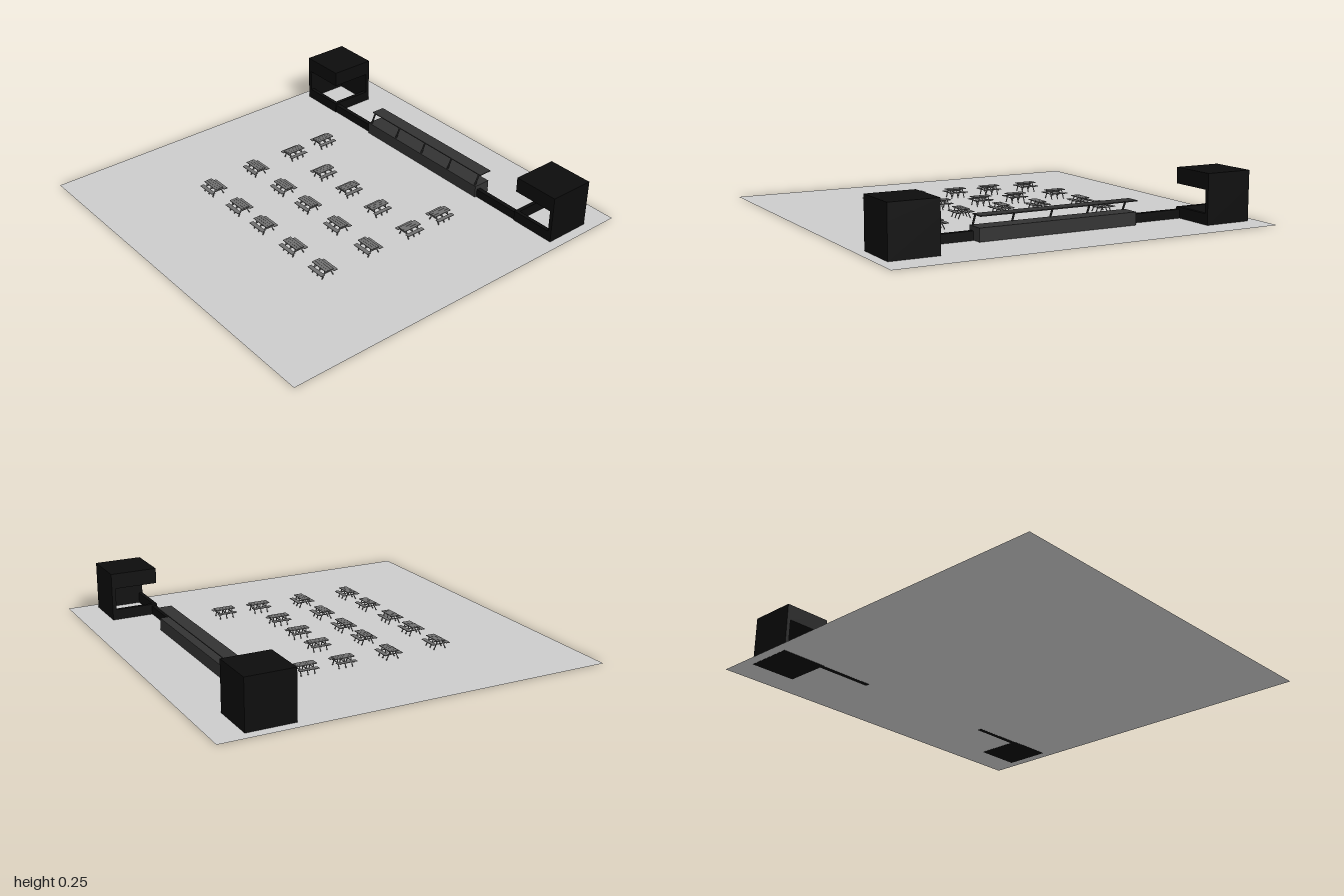
import * as THREE from 'three';

const mat = (color) => new THREE.MeshStandardMaterial({ color });
const groundMat = new THREE.MeshStandardMaterial({ color: 0xcccccc, side: THREE.DoubleSide });
const blackMat = mat(0x0c0c0c);
const barMat = mat(0x333333);
const tableMat = mat(0x707070);

// Box given by its minimum and maximum corners
function box(parent, name, material, [x0, y0, z0], [x1, y1, z1]) {
  const mesh = new THREE.Mesh(new THREE.BoxGeometry(x1 - x0, y1 - y0, z1 - z0), material);
  mesh.position.set((x0 + x1) / 2, (y0 + y1) / 2, (z0 + z1) / 2);
  mesh.name = name;
  parent.add(mesh);
  return mesh;
}

// Thin square bar between two points
function bar(parent, name, material, from, to, size) {
  const a = new THREE.Vector3(...from), b = new THREE.Vector3(...to);
  const mesh = new THREE.Mesh(new THREE.BoxGeometry(size, a.distanceTo(b), size), material);
  mesh.position.copy(a).add(b).multiplyScalar(0.5);
  mesh.quaternion.setFromUnitVectors(new THREE.Vector3(0, 1, 0), b.sub(a).normalize());
  mesh.name = name;
  parent.add(mesh);
}

// Kiosk with a corner window open to the front and the inner side (side = +1 left, -1 right)
function kiosk(side) {
  const g = new THREE.Group();
  g.name = side > 0 ? 'leftKiosk' : 'rightKiosk';
  const inner = 0.703, outer = 0.948, back = -0.85, front = -0.605;
  const t = 0.02, sill = 0.055, lintel = 0.17, top = 0.25;
  const part = (name, xa, xb, y0, y1, z0, z1) =>
    box(g, name, blackMat, [Math.min(side * xa, side * xb), y0, z0], [Math.max(side * xa, side * xb), y1, z1]);
  part('kioskBase', inner, outer, 0, 0.0005, back, front);
  part('kioskBackWall', inner, outer, 0, lintel, back, back + t);
  part('kioskOuterWall', outer - t, outer, 0, lintel, back + t, front);
  part('kioskFrontSill', inner, outer - t, 0, sill, front - t, front);
  part('kioskInnerSill', inner, inner + t, 0, sill, back + t, front - t);
  part('kioskRoof', inner, outer, lintel, top, back, front);
  return g;
}

// Picnic table, long along x
function picnicTable() {
  const g = new THREE.Group();
  g.name = 'picnicTable';
  const half = 0.052;
  for (const z of [-0.0155, 0, 0.0155])
    box(g, 'tableTopPlank', tableMat, [-half, 0.049, z - 0.0073], [half, 0.053, z + 0.0073]);
  for (const s of [-1, 1]) {
    box(g, 'benchSeat', tableMat, [-half, 0.034, s * 0.038 - 0.011], [half, 0.037, s * 0.038 + 0.011]);
    for (const x of [-0.036, 0, 0.036])
      bar(g, 'tableLeg', tableMat, [x, 0.005, s * 0.033], [x, 0.049, s * 0.012], 0.004);
  }
  for (const x of [-0.036, 0, 0.036])
    box(g, 'benchSupport', tableMat, [x - 0.002, 0.030, -0.045], [x + 0.002, 0.034, 0.045]);
  return g;
}

export function createModel() {
  const model = new THREE.Group();
  model.name = 'beerGarden';

  // Ground sheet
  const ground = new THREE.Mesh(new THREE.PlaneGeometry(2, 2), groundMat);
  ground.rotation.x = -Math.PI / 2;
  ground.position.y = 0.001;
  ground.name = 'ground';
  model.add(ground);

  // Kiosks and the low walls joining them to the bar
  model.add(kiosk(1), kiosk(-1));
  box(model, 'rightLowWall', blackMat, [-0.703, 0, -0.634], [-0.40, 0.045, -0.61]);
  box(model, 'leftLowWall', blackMat, [0.43, 0, -0.634], [0.703, 0.045, -0.61]);

  // Bar counter with a thin canopy on slanted posts
  const counter = new THREE.Group();
  counter.name = 'barCounter';
  box(counter, 'counterBody', barMat, [-0.405, 0.003, -0.69], [0.435, 0.067, -0.598]);
  box(counter, 'canopy', barMat, [-0.405, 0.119, -0.70], [0.435, 0.124, -0.627]);
  for (let i = 0; i < 5; i++) {
    const x = -0.387 + i * 0.2025;
    bar(counter, 'canopyPost', barMat, [x, 0.066, -0.604], [x, 0.12, -0.63], 0.007);
  }
  model.add(counter);

  // Rows of tables: the two back rows are turned a quarter
  const rows = [
    { z: -0.317, turned: true, xs: [-0.457, 0.472] },
    { z: -0.117, turned: true, xs: [-0.457, -0.202, 0.007, 0.232, 0.472] },
    { z: 0.135, turned: false, xs: [-0.457, -0.217, -0.012, 0.222, 0.457] },
    { z: 0.415, turned: false, xs: [-0.44, -0.212, -0.007, 0.232, 0.457] },
  ];
  for (const { z, turned, xs } of rows) {
    for (const x of xs) {
      const table = picnicTable();
      table.position.set(x, 0, z);
      if (turned) table.rotation.y = Math.PI / 2;
      model.add(table);
    }
  }
  return model;
}
